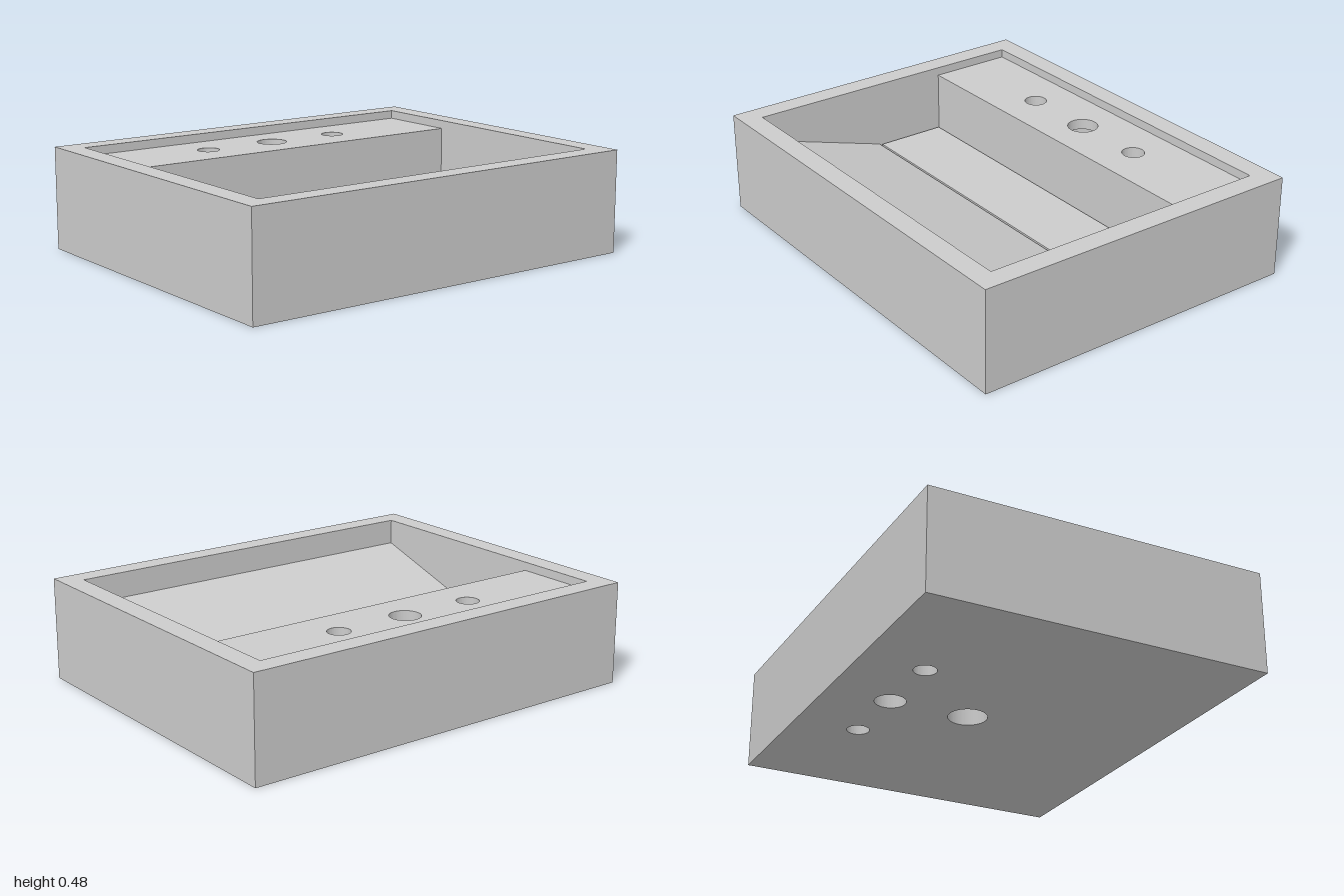
import * as THREE from 'three';
import { toCreasedNormals } from 'three/addons/utils/BufferGeometryUtils.js';

const W = 1, D = 0.8, H = 0.48;          // outer half width, half depth, height
const IW = 0.9, ID = 0.7;                // inner half width, half depth
const LEDGE_FRONT = -0.3, LEDGE_TOP = 0.44, APRON = 0.04;
const SLOPE_BACK = 0.06, COVER_TOP = 0.16, SLOPE_TOP = 0.36, BASIN_Y = 0.12;

const material = new THREE.MeshStandardMaterial({ color: 0xcccccc });

// Round holes: [x, z, radius]
const tapHoles = [[-0.36, -0.5, 0.052], [0, -0.5, 0.071], [0.36, -0.5, 0.052]];
const drainHole = [0, -0.12, 0.09];

// Counter-clockwise rectangle
function rect(target, hw, z0, z1) {
  target.moveTo(-hw, -z1).lineTo(hw, -z1).lineTo(hw, -z0).lineTo(-hw, -z0).closePath();
  return target;
}

// Horizontal plate between two heights, pierced by round holes or a rectangle
function plate(hw, z0, z1, y0, y1, circles = [], opening = null) {
  const shape = rect(new THREE.Shape(), hw, z0, z1);
  for (const [x, z, r] of circles) {
    shape.holes.push(new THREE.Path().absarc(x, -z, r, 0, Math.PI * 2, true));
  }
  if (opening) shape.holes.push(opening);
  const geo = new THREE.ExtrudeGeometry(shape, { depth: y1 - y0, bevelEnabled: false, curveSegments: 40 });
  geo.rotateX(-Math.PI / 2).translate(0, y0, 0);
  return toCreasedNormals(geo, 0.6);
}

function box(x0, x1, y0, y1, z0, z1) {
  return new THREE.BoxGeometry(x1 - x0, y1 - y0, z1 - z0)
    .translate((x0 + x1) / 2, (y0 + y1) / 2, (z0 + z1) / 2);
}

export function createModel() {
  const group = new THREE.Group();
  group.name = 'washbasin';
  const add = (name, geo) => {
    const mesh = new THREE.Mesh(geo, material);
    mesh.name = name;
    group.add(mesh);
  };

  // Outer walls with a flat rim
  add('outerWalls', plate(W, -D, D, 0, H, [], rect(new THREE.Path(), IW, -ID, ID)));

  // Tap shelf: pierced top, front apron and pierced floor below
  add('tapLedge', plate(IW, -ID, LEDGE_FRONT, LEDGE_TOP - 0.05, LEDGE_TOP, tapHoles));
  add('tapLedgeApron', box(-IW, IW, BASIN_Y, LEDGE_TOP - 0.05, LEDGE_FRONT - APRON, LEDGE_FRONT));
  add('tapFloor', plate(IW, -ID, LEDGE_FRONT - APRON, 0, 0.07, tapHoles));

  // Basin floor with the drain
  add('basinFloor', plate(IW, LEDGE_FRONT - APRON, SLOPE_BACK, 0, BASIN_Y, [drainHole]));

  // Sloping front part of the basin
  const profile = new THREE.Shape()
    .moveTo(SLOPE_BACK, 0).lineTo(ID, 0).lineTo(ID, SLOPE_TOP).lineTo(SLOPE_BACK, COVER_TOP).closePath();
  const slope = new THREE.ExtrudeGeometry(profile, { depth: IW * 2, bevelEnabled: false });
  add('basinSlope', slope.rotateY(-Math.PI / 2).translate(IW, 0, 0));

  // Loose cover over the drain, with a narrow gap all round, on small feet
  add('drainCover', box(-0.89, 0.89, 0.13, COVER_TOP, -0.29, 0.05));
  for (const x of [-0.8, 0.8]) {
    for (const z of [-0.24, 0]) add('coverFoot', box(x - 0.03, x + 0.03, BASIN_Y, 0.13, z - 0.03, z + 0.03));
  }
  return group;
}
